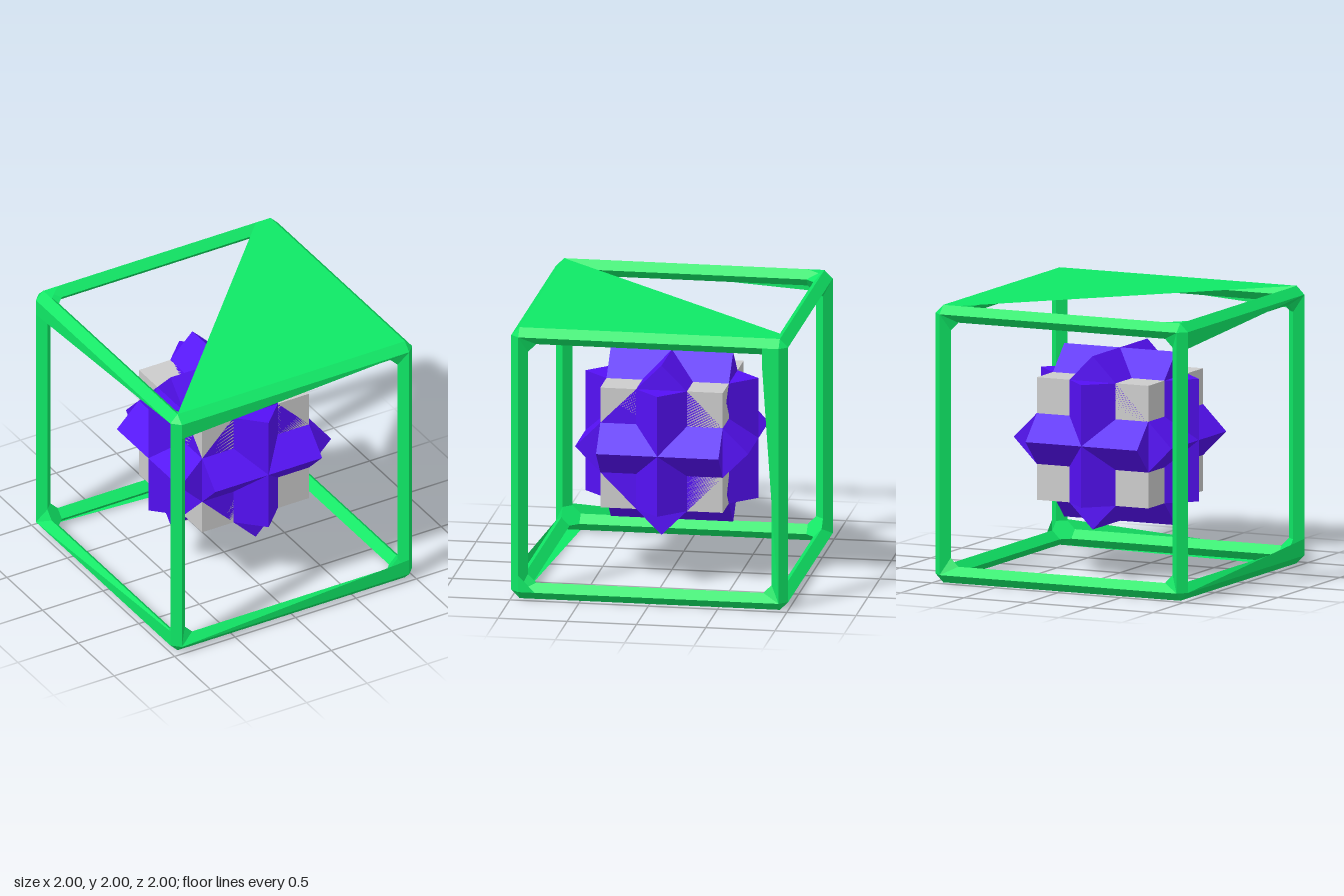
import * as THREE from 'three';

const GREEN = 0x0fe866, PURPLE = 0x5510f5, GREY = 0xcccccc;
const EDGE = 0.94, INNER = 0.88, TRIM = 0.82;
const SIGNS = [-1, 1];

const material = (color) =>
  new THREE.MeshStandardMaterial({ color, flatShading: true, side: THREE.DoubleSide });

// Convex polygon as a triangle fan, turned to face away from the point "inside"
function addPolygon(out, corners, inside) {
  const p = corners.map((c) => new THREE.Vector3(...c));
  const normal = p[1].clone().sub(p[0]).cross(p[2].clone().sub(p[0]));
  if (normal.dot(p[0].clone().sub(inside)) < 0) p.reverse();
  for (let i = 1; i < p.length - 1; i++) {
    for (const v of [p[0], p[i], p[i + 1]]) out.push(v.x, v.y, v.z);
  }
}

function meshFrom(positions, mat, name) {
  const geometry = new THREE.BufferGeometry();
  geometry.setAttribute('position', new THREE.Float32BufferAttribute(positions, 3));
  geometry.computeVertexNormals();
  const mesh = new THREE.Mesh(geometry, mat);
  mesh.name = name;
  return mesh;
}

// Point given by its coordinate along an axis and along the next two axes
function onAxis(axis, a, b, c) {
  const p = [0, 0, 0];
  p[axis] = a;
  p[(axis + 1) % 3] = b;
  p[(axis + 2) % 3] = c;
  return p;
}

// Twelve diamond-section bars, mitred towards the corners
function frameBars() {
  const out = [];
  const section = [[1, EDGE, EDGE], [EDGE, 1, EDGE], [INNER, EDGE, TRIM], [EDGE, INNER, TRIM]];
  for (let axis = 0; axis < 3; axis++) for (const sb of SIGNS) for (const sc of SIGNS) {
    const inside = new THREE.Vector3(...onAxis(axis, 0, sb * EDGE, sc * EDGE));
    section.forEach(([b, c, end], i) => {
      const [b2, c2, end2] = section[(i + 1) % 4];
      addPolygon(out, [
        onAxis(axis, -end, sb * b, sc * c), onAxis(axis, end, sb * b, sc * c),
        onAxis(axis, end2, sb * b2, sc * c2), onAxis(axis, -end2, sb * b2, sc * c2),
      ], inside);
    });
  }
  return out;
}

// Eight corner joints: cut tip, three webs and an inner hexagon
function frameCorners() {
  const out = [];
  const hexagon = [
    [TRIM, INNER, EDGE], [INNER, TRIM, EDGE], [EDGE, TRIM, INNER],
    [EDGE, INNER, TRIM], [INNER, EDGE, TRIM], [TRIM, EDGE, INNER],
  ];
  for (const x of SIGNS) for (const y of SIGNS) for (const z of SIGNS) {
    const mirror = (p) => [p[0] * x, p[1] * y, p[2] * z];
    const inside = new THREE.Vector3(x, y, z).multiplyScalar(0.915);
    addPolygon(out, [[1, EDGE, EDGE], [EDGE, 1, EDGE], [EDGE, EDGE, 1]].map(mirror), inside);
    addPolygon(out, hexagon.map(mirror), inside);
    for (let axis = 0; axis < 3; axis++) {
      addPolygon(out, [
        onAxis(axis, 1, EDGE, EDGE),
        onAxis(axis, EDGE, TRIM, INNER), onAxis(axis, EDGE, INNER, TRIM),
      ].map(mirror), inside);
    }
  }
  return out;
}

// Flat panels lying in the outer planes of the frame
function framePanels() {
  const out = [], E = EDGE, T = TRIM;
  const center = new THREE.Vector3();
  const top = (x, z) => [x, 1, z], bottom = (x, z) => [x, -1, z];
  const front = (x, y) => [x, y, 1];
  const plusX = (z, y) => [1, y, z], minusX = (z, y) => [-1, y, z];
  const panels = [
    [top, [-E, E], [E, E], [E, -E], [T, -E]],
    [top, [-E, -E], [T * -1, -E], [-E, -T]],
    [bottom, [-E, -E], [E, -E], [E, -T]],
    [bottom, [E, E], [-E, E], [-E, T]],
    [front, [E, E], [-E, E], [-E, T]],
    [front, [-E, -E], [E, -E], [E, -T]],
    [minusX, [E, E], [-E, E], [-E, T]],
    [minusX, [-E, -E], [E, -E], [E, -T]],
    [plusX, [-E, -E], [-E, E], [-T, E], [-T, T]],
    [plusX, [E, -E], [T, -E], [E, -T]],
  ];
  for (const [place, ...points] of panels) {
    addPolygon(out, points.map((p) => place(...p)), center);
  }
  return out;
}

export function createModel() {
  const model = new THREE.Group();
  model.name = 'cubeInFrame';

  // Open cube frame
  const frame = new THREE.Group();
  frame.name = 'frame';
  const green = material(GREEN);
  frame.add(
    meshFrom(frameBars(), green, 'frameBars'),
    meshFrom(frameCorners(), green, 'frameCorners'),
    meshFrom(framePanels(), green, 'framePanels'),
  );

  // Core: an upright cube crossed by three cubes, each turned 45 degrees on one axis
  const core = new THREE.Group();
  core.name = 'core';
  const cube = new THREE.BoxGeometry(0.884, 0.884, 0.884);
  const upright = new THREE.Mesh(cube, material(GREY));
  upright.name = 'uprightCube';
  core.add(upright);
  const purple = material(PURPLE);
  for (const axis of ['x', 'y', 'z']) {
    const turned = new THREE.Mesh(cube, purple);
    turned.name = 'turnedCube' + axis.toUpperCase();
    turned.rotation[axis] = Math.PI / 4;
    core.add(turned);
  }

  frame.position.y = core.position.y = 1;
  model.add(frame, core);
  return model;
}
